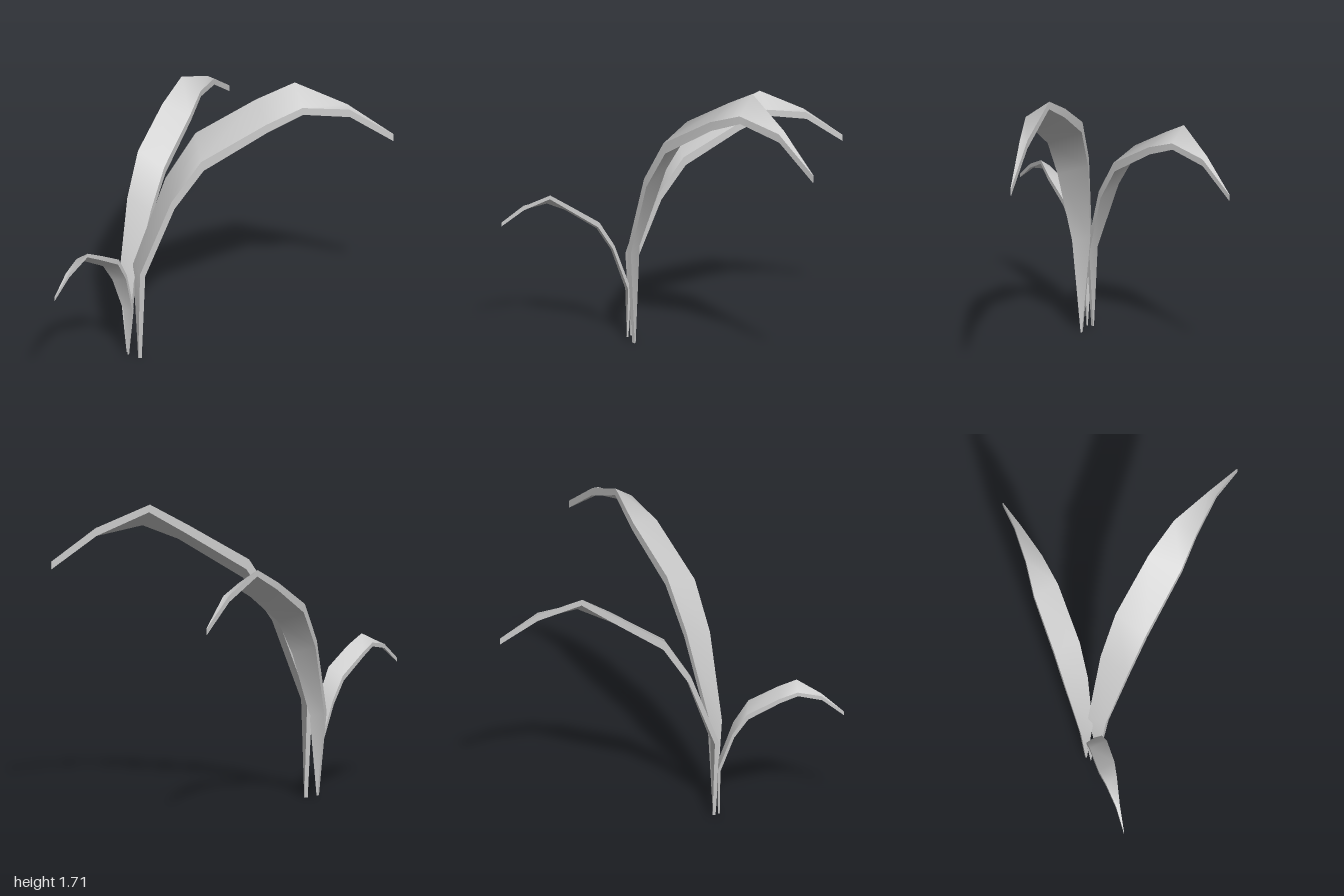
import * as THREE from 'three';

// Blade stations: top centre x, y | half width | lean of the raised edge x, y | thickness offset x, y
const STATIONS = [
  [-0.01, 0.005, 0.004, 0, 0, 0.02, 0],
  [-0.02, 0.583, 0.05, -0.015, 0.008, 0.03, -0.012],
  [0.163, 1.09, 0.088, -0.008, 0.03, 0.018, -0.045],
  [0.335, 1.36, 0.1, -0.005, 0.04, 0.015, -0.058],
  [0.695, 1.57, 0.097, -0.02, 0.03, 0.01, -0.05],
  [0.91, 1.668, 0.066, -0.015, 0.048, 0.005, -0.045],
  [1.195, 1.575, 0.023, -0.003, 0.005, 0.005, -0.05],
  [1.455, 1.38, 0.002, 0, 0, 0, -0.045],
];

// Four corners of a cross-section: raised top, low top, low bottom, raised bottom
function section([x, y, w, lx, ly, tx, ty]) {
  return [
    [x + lx, y + ly, -w],
    [x - lx, y - ly, w],
    [x - lx + tx, y - ly + ty, w],
    [x + lx + tx, y + ly + ty, -w],
  ];
}

// Thick leaf blade: four strips, smooth along the length and sharp at the edges
function bladeGeometry() {
  const rings = STATIONS.map(section);
  const positions = [];
  const index = [];
  for (let side = 0; side < 4; side++) {
    const start = positions.length / 3;
    rings.forEach((ring, i) => {
      positions.push(...ring[side], ...ring[(side + 1) % 4]);
      if (i === rings.length - 1) return;
      const a = start + i * 2;
      index.push(a, a + 1, a + 2, a + 1, a + 3, a + 2);
    });
  }
  // End caps
  const caps = [[...rings[0]].reverse(), rings[rings.length - 1]];
  for (const cap of caps) {
    const a = positions.length / 3;
    positions.push(...cap.flat());
    index.push(a, a + 1, a + 2, a, a + 2, a + 3);
  }
  const geometry = new THREE.BufferGeometry();
  geometry.setAttribute('position', new THREE.Float32BufferAttribute(positions, 3));
  geometry.setIndex(index);
  geometry.computeVertexNormals();
  return geometry;
}

export function createModel() {
  const group = new THREE.Group();
  group.name = 'grassTuft';
  const geometry = bladeGeometry();
  const material = new THREE.MeshStandardMaterial({ color: 0xcccccc });

  // The same blade at three sizes, fanned out from a shared root
  const blades = [
    { name: 'longBlade', root: [-0.455, 0, 0.268], turn: 0, scale: [1, 1, 1] },
    { name: 'middleBlade', root: [-0.52, 0.02, 0.222], turn: 55.7, scale: [0.84, 0.825, 0.83] },
    { name: 'shortBlade', root: [-0.52, 0.02, 0.255], turn: -131.9, scale: [0.495, 0.51, 0.51] },
  ];
  for (const { name, root, turn, scale } of blades) {
    const blade = new THREE.Mesh(geometry, material);
    blade.name = name;
    blade.position.set(...root);
    blade.rotation.y = THREE.MathUtils.degToRad(turn);
    blade.scale.set(...scale);
    group.add(blade);
  }
  return group;
}
